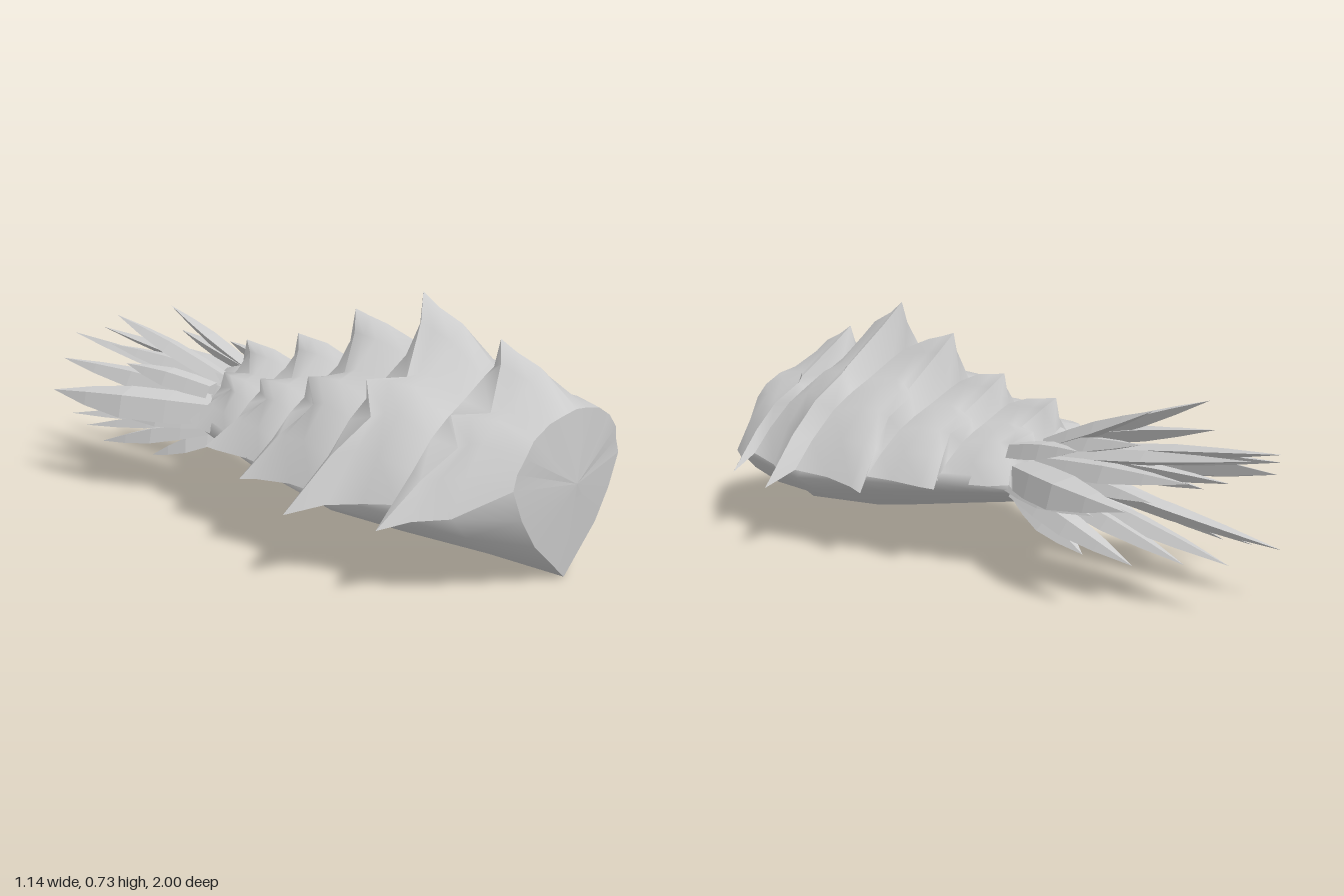
import * as THREE from 'three';

const material = new THREE.MeshStandardMaterial({ color: 0xcccccc, side: THREE.DoubleSide });
const flatMaterial = new THREE.MeshStandardMaterial({ color: 0xcccccc, side: THREE.DoubleSide, flatShading: true });

// Skin a list of equally long point rings
function loft(name, rings, mat = material) {
  const n = rings[0].length, index = [];
  for (let i = 0; i < rings.length - 1; i++) {
    for (let j = 0; j < n - 1; j++) {
      const a = i * n + j, b = a + n;
      index.push(a, b, a + 1, a + 1, b, b + 1);
    }
  }
  const geometry = new THREE.BufferGeometry();
  geometry.setAttribute('position', new THREE.Float32BufferAttribute(rings.flat(2), 3));
  geometry.setIndex(index);
  geometry.computeVertexNormals();
  const mesh = new THREE.Mesh(geometry, mat);
  mesh.name = name;
  return mesh;
}

// Half profiles from ridge to side: [across, up, forward offset]
const FRONT = [[0, 1, 0.02], [0.2, 0.97, 0.02], [0.47, 0.89, 0.015], [0.72, 0.7, 0.01], [0.86, 0.47, 0.01], [0.94, 0.24, 0], [1, 0, 0]];
const BASE = [[0, 1, 0], [0.12, 0.92, 0], [0.33, 0.76, 0], [0.5, 0.64, 0], [0.66, 0.5, 0], [0.85, 0.25, 0], [1, 0, 0]];
const MID = [[0, 1, 0], [0.12, 0.9, 0], [0.33, 0.71, 0], [0.5, 0.66, 0], [0.66, 0.52, 0], [0.86, 0.28, 0], [1, 0, 0]];
const RIM = [[0, 1, 0], [0.09, 0.86, 0.035], [0.3, 0.61, 0.085], [0.44, 0.6, 0.01], [0.54, 0.44, 0.075], [0.75, 0.27, 0.04], [1, 0, 0]];
// Just ahead of the rim, before the points flare out
const NECK = RIM.map(([u, v, dz], k) => [(u + MID[k][0]) / 2, (v + MID[k][1]) / 2, dz * 0.6 + 0.055]);

// Arch running from +x over the ridge to -x
function arch(profile, { w, top, low, z, zSide = z }) {
  const half = profile.map(([u, v, dz]) => [u * w, low + v * (top - low), z + (zSide - z) * u + dz]);
  const right = half.slice(1).map(([x, y, zz]) => [-x, y, zz]);
  return [...half.reverse(), ...right];
}

// V-shaped belly section from -x under the keel to +x
function vee([z, w, edge, keel]) {
  return [[-1, 0], [-0.83, 0.3], [-0.58, 0.59], [0, 1], [0.58, 0.59], [0.83, 0.3], [1, 0]]
    .map(([u, v]) => [u * w, edge + (keel - edge) * v, z]);
}

// Belly section with its upper edges turned in under the plates
function bellySection(s) {
  const [z, w, edge] = s;
  return [[-w * 0.93, edge + 0.03, z], ...vee(s), [w * 0.93, edge + 0.03, z]];
}

// Diamond-section blade from the tail root through a bulge to the tip
function blade(root, tip, width, bow) {
  const a = new THREE.Vector3(...root), c = new THREE.Vector3(...tip);
  const b = a.clone().lerp(c, 0.5);
  b.x += bow;
  const path = new THREE.CatmullRomCurve3([a, b, c]);
  const dir = c.clone().sub(a).normalize();
  const facing = new THREE.Vector3(c.x * 0.6, 0.2, 0);
  const side = new THREE.Vector3().crossVectors(dir, facing).normalize();
  const up = new THREE.Vector3().crossVectors(side, dir);
  const rings = [[0, 0.85], [0.25, 1], [0.5, 1], [0.75, 0.6], [1, 0]].map(([t, s]) => {
    const p = path.getPoint(t);
    return [[1, 0], [0, 0.6], [-1, 0], [0, -0.6], [1, 0]].map(([i, j]) =>
      p.clone().addScaledVector(side, i * s * width).addScaledVector(up, j * s * width).toArray());
  });
  return loft('tailBlade', rings, flatMaterial);
}

export function createModel() {
  const model = new THREE.Group();
  model.name = 'armouredShell';

  // Overlapping back plates: leading edge, swell and jagged trailing rim
  const plates = [
    [{ w: 0.256, top: 0.475, low: 0.3, z: 0.97 }, { w: 0.385, top: 0.57, low: 0.235, z: 0.87 },
      { w: 0.505, top: 0.63, low: 0.2, z: 0.74, zSide: 0.72 }],
    [{ w: 0.42, top: 0.55, low: 0.25, z: 0.72 }, { w: 0.425, top: 0.655, low: 0.23, z: 0.61 },
      { w: 0.57, top: 0.73, low: 0.2, z: 0.47, zSide: 0.455 }],
    [{ w: 0.455, top: 0.58, low: 0.24, z: 0.455 }, { w: 0.42, top: 0.62, low: 0.23, z: 0.34 },
      { w: 0.435, top: 0.65, low: 0.21, z: 0.22, zSide: 0.16 }],
    [{ w: 0.385, top: 0.5, low: 0.25, z: 0.19 }, { w: 0.355, top: 0.53, low: 0.245, z: 0.11 },
      { w: 0.345, top: 0.545, low: 0.245, z: -0.01, zSide: -0.07 }],
    [{ w: 0.3, top: 0.455, low: 0.26, z: -0.03 }, { w: 0.265, top: 0.48, low: 0.255, z: -0.11 },
      { w: 0.225, top: 0.495, low: 0.27, z: -0.23, zSide: -0.26 }],
  ];
  const tailBase = { w: 0.2, top: 0.41, low: 0.25, z: -0.25 };
  plates.forEach(([base, mid, rim], i) => {
    const next = i < plates.length - 1 ? plates[i + 1][0] : tailBase;
    const neck = { ...rim, w: (mid.w + next.w) / 2 + 0.025, top: (mid.top + rim.top) / 2, low: (mid.low + rim.low) / 2 };
    const rimRing = arch(RIM, rim);
    model.add(loft('backPlate' + (i + 1), [arch(i ? BASE : FRONT, base), arch(MID, mid), arch(NECK, neck), rimRing]));
    model.add(loft('plateStep' + (i + 1), [rimRing, arch(BASE, next)]));
  });

  // Keeled belly: [z, half width, edge height, keel height]
  const belly = [
    [0.97, 0.256, 0.3, 0], [0.87, 0.38, 0.235, 0.008], [0.6, 0.42, 0.22, 0.03], [0.455, 0.45, 0.215, 0.055],
    [0.18, 0.385, 0.235, 0.107], [-0.05, 0.3, 0.25, 0.15], [-0.18, 0.245, 0.255, 0.175], [-0.25, 0.2, 0.25, 0.2],
  ];
  model.add(loft('belly', belly.map(bellySection)));

  // Slightly domed front face
  const outline = [...arch(FRONT, plates[0][0]), ...vee(belly[0]).slice(1)];
  const centre = outline.map(() => [0, 0.27, 1]);
  model.add(loft('frontFace', [centre, outline]));

  // Tapered tail root
  const tailOutline = [...arch(BASE, tailBase), ...vee(belly[belly.length - 1]).slice(1)];
  const shrink = (s, z) => tailOutline.map(([x, y]) => [x * s, 0.31 + (y - 0.31) * s, z]);
  model.add(loft('tailRoot', [tailOutline, shrink(0.8, -0.32), shrink(0, -0.38)]));

  // Tail blades, mirrored left and right: [root, tip, half width, outward bow]
  const tail = new THREE.Group();
  tail.name = 'tailBlades';
  const blades = [
    [[0.05, 0.34, -0.28], [0.065, 0.425, -1], 0.036, 0.005],
    [[0.06, 0.25, -0.25], [0.115, 0.15, -0.97], 0.042, -0.005],
    [[0.11, 0.32, -0.27], [0.2, 0.37, -0.9], 0.045, 0.01],
    [[0.15, 0.29, -0.22], [0.33, 0.3, -0.795], 0.062, 0.03],
    [[0.07, 0.37, -0.26], [0.12, 0.53, -0.71], 0.036, 0],
    [[0.15, 0.24, -0.22], [0.2, 0.115, -0.71], 0.042, 0.01],
    [[0.1, 0.22, -0.19], [0.17, 0.1, -0.5], 0.045, 0.01],
    [[0.09, 0.25, -0.26], [0.15, 0.135, -0.85], 0.038, 0],
    [[0.17, 0.36, -0.22], [0.235, 0.41, -0.54], 0.04, 0],
    [[0.07, 0.37, -0.26], [0.16, 0.44, -0.7], 0.038, 0],
    [[0.17, 0.27, -0.21], [0.24, 0.24, -0.6], 0.045, 0.01],
    [[0.09, 0.3, -0.28], [0.17, 0.29, -0.75], 0.04, 0],
  ];
  for (const [root, tip, width, bow] of blades) {
    for (const s of [1, -1]) {
      tail.add(blade([root[0] * s, root[1], root[2]], [tip[0] * s, tip[1], tip[2]], width, bow * s));
    }
  }
  model.add(tail);
  return model;
}
